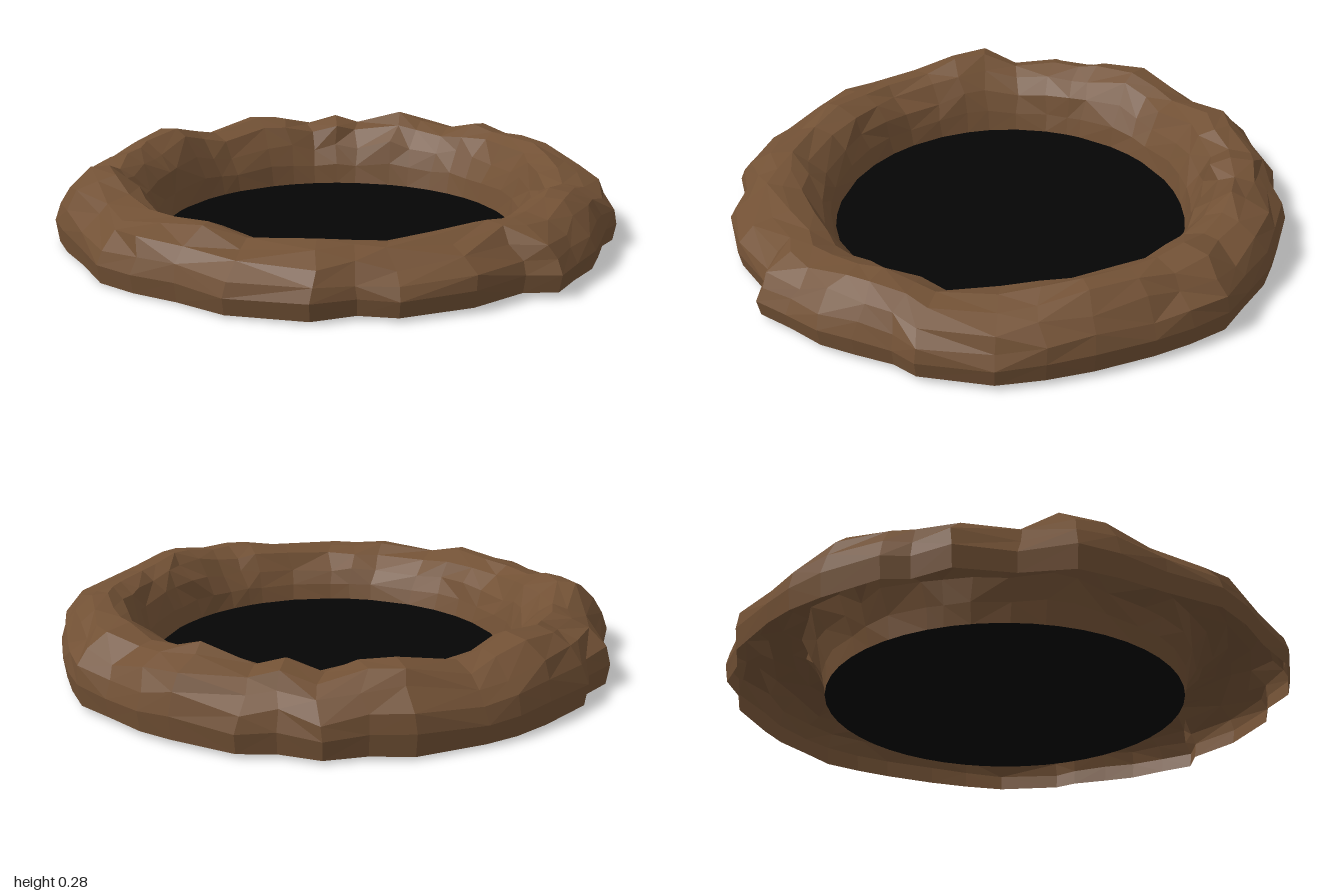
import * as THREE from 'three';

// Stations around the mound: [angle in degrees from +x towards +z, outer radius, crest height]
const stations = [
  [6, 1.005, .22], [20, 1.0, .21], [25, .97, .22], [33, .98, .24], [40, 1.0, .23], [48, 1.005, .21],
  [55, 1.035, .21], [60, .965, .21], [72, .99, .20], [86, 1.0, .185], [93, .96, .19], [101, 1.01, .2],
  [116, 1.0, .19], [127, .96, .22], [137, .975, .21], [146, .99, .21], [158, .96, .22], [168, .98, .26],
  [176, 1.0, .265], [186, .955, .22], [197, 1.0, .24], [205, .96, .24], [210, .99, .25], [223, .98, .27],
  [231, .985, .24], [238, .985, .22], [252, .996, .26], [260, .97, .25], [268, 1.0, .22], [276, .97, .255],
  [283, 1.0, .23], [296, .99, .28], [303, .995, .25], [312, .99, .235], [320, 1.01, .265], [328, .99, .25],
  [336, .977, .25], [348, .974, .255], [357, .985, .24],
];

// Cross-section from the pit edge over the crest to the outer foot:
// [fraction of the way outwards, fraction of the crest height, looseness]
const section = [
  [0, 0, 0], [.05, .3, .25], [.14, .6, .6], [.28, .86, .8], [.46, 1, .4],
  [.66, .94, .9], [.83, .78, .9], [.95, .55, .5], [1, .3, 0], [.97, 0, 0],
];

const PIT_RADIUS = .64, CX = .01, CZ = -.01;

function seeded(seed) {
  return () => {
    seed = (seed * 16807) % 2147483647;
    return seed / 2147483647 - .5;
  };
}

// Lumpy hollow ring, open underneath
function moundGeometry() {
  const rand = seeded(4271);
  const positions = [], index = [];
  const m = section.length, n = stations.length;
  for (const [deg, outer, crest] of stations) {
    const a = THREE.MathUtils.degToRad(deg);
    const foot = .012 + .01 * Math.cos(a);
    for (const [out, up, loose] of section) {
      const base = foot * out; // the inner edge meets the pit floor
      const r = PIT_RADIUS + (outer - PIT_RADIUS) * out + rand() * .04 * loose;
      const y = base + (crest - base) * up + (up < 1 ? rand() * .03 * loose : 0);
      const t = a + rand() * .05 * loose;
      const shift = 1 - out; // the pit is slightly off centre
      positions.push(r * Math.cos(t) + CX * shift, y, r * Math.sin(t) + CZ * shift);
    }
  }
  for (let i = 0; i < n; i++) {
    for (let j = 0; j < m - 1; j++) {
      const a = i * m + j, b = ((i + 1) % n) * m + j, c = b + 1, d = a + 1;
      // alternate the diagonals irregularly for a rocky look
      if (rand() > 0) index.push(a, b, d, b, c, d);
      else index.push(a, b, c, a, c, d);
    }
  }
  const indexed = new THREE.BufferGeometry();
  indexed.setAttribute('position', new THREE.Float32BufferAttribute(positions, 3));
  indexed.setIndex(index);
  const flat = indexed.toNonIndexed();
  flat.computeVertexNormals();
  return flat;
}

export function createModel() {
  const earth = new THREE.MeshStandardMaterial({ color: 0x725135, side: THREE.DoubleSide, flatShading: true });
  earth.name = 'earth brown';
  const dark = new THREE.MeshStandardMaterial({ color: 0x050505, side: THREE.DoubleSide });
  dark.name = 'pit black';

  const model = new THREE.Group();
  model.name = 'burrow';

  const mound = new THREE.Mesh(moundGeometry(), earth);
  mound.name = 'earthMound';

  // Black floor of the hole
  const pit = new THREE.Mesh(new THREE.CircleGeometry(PIT_RADIUS + .003, 48).rotateX(-Math.PI / 2), dark);
  pit.name = 'pitFloor';
  pit.position.set(CX, 0, CZ);

  model.add(mound, pit);
  return model;
}
